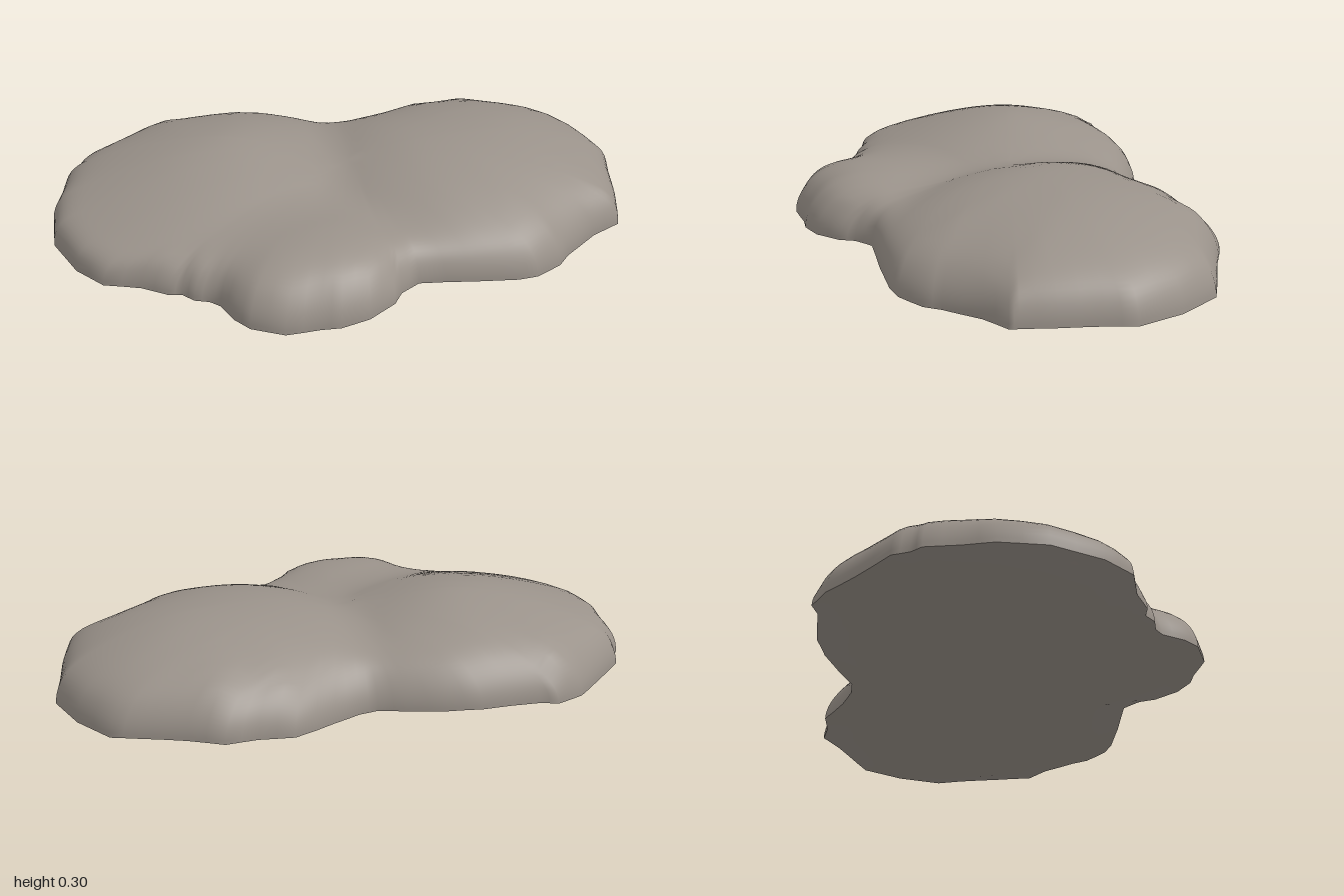
import * as THREE from 'three';

// Rim of the rock in plan: x, z pairs, clockwise from the back
const RIM = [
  -.45, -.76, -.33, -.76, -.28, -.72, -.08, -.64, .02, -.57, .11, -.48, .18, -.4, .24, -.375, .34, -.365,
  .51, -.365, .62, -.31, .73, -.28, .81, -.18, .92, -.06, .98, .01, 1, .18, .98, .35, .92, .43,
  .84, .55, .77, .64, .75, .665, .63, .67, .48, .71, .42, .74, .31, .755, .24, .74, .1, .68,
  -.07, .595, -.15, .61, -.2, .645, -.31, .665, -.41, .65, -.47, .62, -.58, .585, -.66, .5, -.68, .43,
  -.68, .34, -.7, .3, -.74, .27, -.76, .22, -.8, .2, -.86, .12, -.96, .04, -1, -.09, -1, -.28,
  -.94, -.43, -.88, -.51, -.82, -.61, -.78, -.63, -.74, -.675, -.58, -.72,
];
const corners = [];
for (let i = 0; i < RIM.length; i += 2) corners.push(new THREE.Vector2(RIM[i], RIM[i + 1]));

// Three merged mounds: centre x, centre z, top height, steepness, falloff power
const MOUNDS = [
  [-.35, -.24, .305, .34, 1.4],
  [.4, .15, .302, .45, 2],
  [-.34, .38, .212, .6, 2],
];
const CENTRE = new THREE.Vector2(0, .05);

// Gently waving height of the rim
const rimHeight = (p) => .024 + .01 * Math.sin(7 * p.x + 2);

// Shortest distance from a plan point to the rim
function rimDistance(p) {
  let best = Infinity;
  corners.forEach((a, i) => {
    const ab = corners[(i + 1) % corners.length].clone().sub(a);
    const ap = p.clone().sub(a);
    const t = THREE.MathUtils.clamp(ap.dot(ab) / ab.lengthSq(), 0, 1);
    best = Math.min(best, ap.addScaledVector(ab, -t).length());
  });
  return best;
}

const smoothMax = (a, b, k) => Math.max(a, b) + Math.max(k - Math.abs(a - b), 0) ** 2 / (4 * k);

// Mounds blended together, rounded down to the rim
function topHeight(p) {
  const mound = MOUNDS
    .map(([x, z, h, k, power]) => h - k * Math.hypot(p.x - x, p.y - z) ** power)
    .reduce((a, b) => smoothMax(a, b, .06));
  const u = Math.min(1, rimDistance(p) / .55);
  const rise = .29 * Math.sqrt(1 - (1 - u) ** 2);
  return -smoothMax(-mound, -rimHeight(p) - rise, Math.min(.04, rise + .0001));
}

// Slightly uneven underside, lower than the rim
function bottomHeight(p) {
  const u = Math.min(1, rimDistance(p) / .12);
  const bumps = .5 + .25 * (Math.sin(p.x * 9 + 1) + Math.sin(p.y * 11));
  return THREE.MathUtils.lerp(rimHeight(p), .014 * bumps, u);
}

// Concentric rings from the centre to the rim, with a height rule
function buildSheet(height, rings, faceUp) {
  const outline = corners.flatMap((a, i) => [a, a.clone().lerp(corners[(i + 1) % corners.length], .5)]);
  const n = outline.length;
  const positions = [CENTRE.x, height(CENTRE), CENTRE.y];
  const index = [];
  const tri = (a, b, c) => (faceUp ? index.push(a, b, c) : index.push(a, c, b));
  for (let r = 1; r <= rings; r++) {
    const t = 1 - (1 - r / rings) ** 2;
    for (let i = 0; i < n; i++) {
      const p = CENTRE.clone().lerp(outline[i], t);
      positions.push(p.x, r === rings ? rimHeight(p) : height(p), p.y);
      const j = (i + 1) % n;
      const outer = 1 + (r - 1) * n;
      const inner = outer - n;
      if (r === 1) tri(0, outer + j, outer + i);
      else {
        tri(inner + i, outer + j, outer + i);
        tri(inner + i, inner + j, outer + j);
      }
    }
  }
  const geometry = new THREE.BufferGeometry();
  geometry.setAttribute('position', new THREE.Float32BufferAttribute(positions, 3));
  geometry.setIndex(index);
  geometry.computeVertexNormals();
  return geometry;
}

export function createModel() {
  const group = new THREE.Group();
  group.name = 'flatRock';
  const stone = new THREE.MeshStandardMaterial({ color: 0x9a928a });
  stone.name = 'warm grey stone';

  const top = new THREE.Mesh(buildSheet(topHeight, 30, true), stone);
  top.name = 'rockTop';
  const bottom = new THREE.Mesh(buildSheet(bottomHeight, 14, false), stone);
  bottom.name = 'rockUnderside';
  group.add(top, bottom);
  return group;
}
